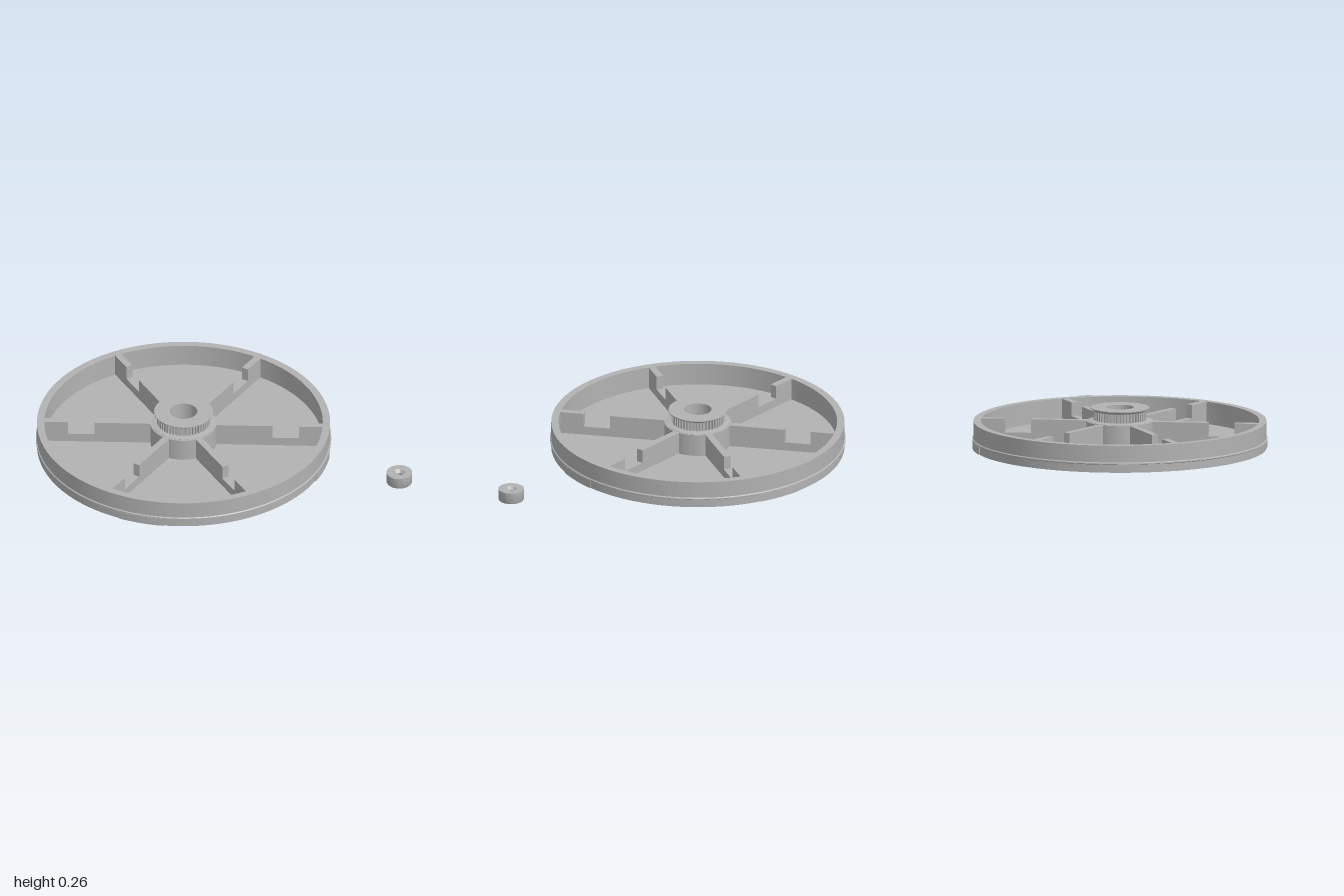
import * as THREE from 'three';
import { toCreasedNormals } from 'three/addons/utils/BufferGeometryUtils.js';

const grey = new THREE.MeshStandardMaterial({ color: 0xb2b2b2 });
grey.name = 'plain grey';

function part(name, geometry) {
  const mesh = new THREE.Mesh(toCreasedNormals(geometry, 0.5), grey);
  mesh.name = name;
  return mesh;
}

// Solid of revolution; the profile runs outward along the bottom and back inward over the top
function turned(name, profile, segments = 120) {
  const points = profile.map(([r, y]) => new THREE.Vector2(r, y));
  points.push(points[0].clone());
  return part(name, new THREE.LatheGeometry(points, segments));
}

// Flat outline in plan, raised from y0 by the given height
function raised(name, shape, y0, height) {
  const geometry = new THREE.ExtrudeGeometry(shape, { depth: height, bevelEnabled: false, curveSegments: 48 });
  geometry.rotateX(-Math.PI / 2).translate(0, y0, 0);
  return part(name, geometry);
}

export function createModel() {
  const model = new THREE.Group();
  model.name = 'wheelAndRoller';
  const wheel = new THREE.Group();
  wheel.name = 'wheel';
  wheel.position.set(-0.077, 0, -0.077);
  model.add(wheel);

  const TOP = 0.171, FLOOR = 0.03, BORE = 0.086;

  // Dished disc with outer bead, rim wall and hub
  wheel.add(turned('disc', [
    [0.03, 0], [0.916, 0], [0.916, 0.05], [0.923, 0.054], [0.923, 0.06], [0.916, 0.065],
    [0.916, TOP], [0.87, TOP], [0.87, FLOOR], [0.208, FLOOR], [0.208, TOP],
    [BORE, TOP], [BORE, 0.05], [0.03, 0.05],
  ], 160));

  // Six spokes, each with a notch in its top edge
  const side = new THREE.Shape([
    [0.204, 0.02], [0.873, 0.02], [0.873, TOP], [0.722, TOP],
    [0.722, 0.085], [0.556, 0.085], [0.556, TOP], [0.204, TOP],
  ].map(([x, y]) => new THREE.Vector2(x, y)));
  const spokeGeometry = new THREE.ExtrudeGeometry(side, { depth: 0.043, bevelEnabled: false });
  spokeGeometry.translate(0, 0, -0.0215);
  for (let i = 0; i < 6; i++) {
    const spoke = part('spoke', spokeGeometry);
    spoke.rotation.y = Math.PI / 6 + i * Math.PI / 3;
    wheel.add(spoke);
  }

  // Four shallow pads on the band below the bead
  for (let i = 0; i < 4; i++) {
    const middle = Math.PI / 4 + i * Math.PI / 2, half = Math.PI / 20;
    const pad = new THREE.Shape();
    pad.absarc(0, 0, 0.922, middle - half, middle + half, false);
    pad.absarc(0, 0, 0.905, middle + half, middle - half, true);
    wheel.add(raised('rimPad', pad, 0.001, 0.051));
  }

  // Toothed belt pulley between two flared flanges
  const teeth = 48, outline = [];
  for (let i = 0; i < teeth; i++) {
    for (const [t, r] of [[0, 0.166], [0.5, 0.166], [0.6, 0.155], [0.9, 0.155]]) {
      const a = (i + t) / teeth * Math.PI * 2;
      outline.push(new THREE.Vector2(r * Math.cos(a), r * Math.sin(a)));
    }
  }
  const gear = new THREE.Shape(outline);
  gear.holes.push(new THREE.Path().absarc(0, 0, BORE, 0, Math.PI * 2, true));
  wheel.add(raised('pulleyTeeth', gear, TOP, 0.07));
  wheel.add(turned('lowerFlange', [[BORE, 0.168], [0.198, 0.168], [0.198, 0.173], [0.164, 0.18], [BORE, 0.18]]));
  wheel.add(turned('upperFlange', [[BORE, 0.236], [0.164, 0.236], [0.184, 0.25], [0.184, 0.256], [BORE, 0.256]]));

  // Separate small roller with a countersunk hole
  const roller = turned('roller', [
    [0.016, 0], [0.077, 0], [0.08, 0.006], [0.08, 0.073], [0.034, 0.073], [0.016, 0.055],
  ], 64);
  roller.position.set(0.92, 0, 0.92);
  model.add(roller);

  return model;
}
